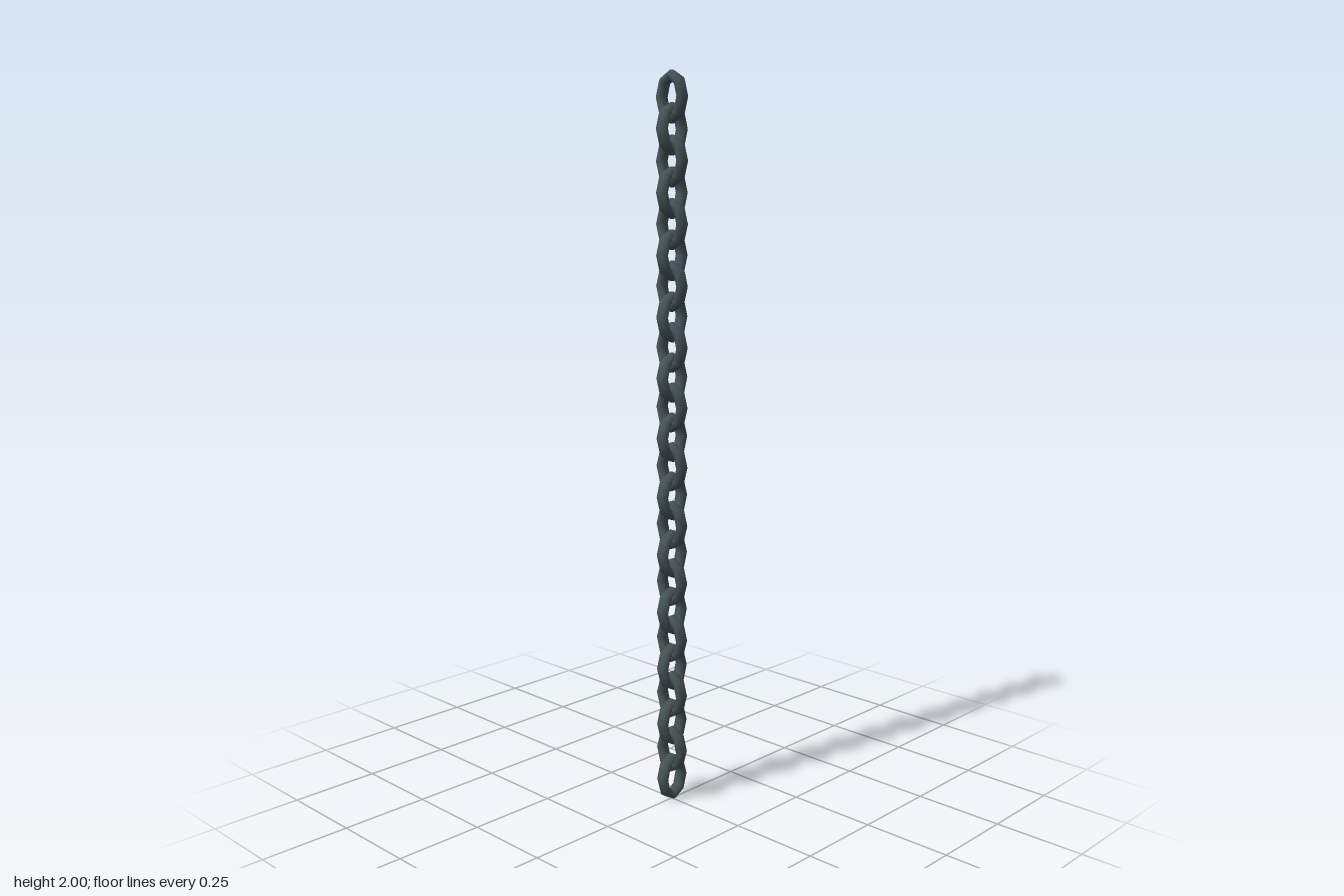
import * as THREE from 'three';
import { mergeVertices } from 'three/addons/utils/BufferGeometryUtils.js';

const LINKS = 24;
const HALF_W = 0.05, HALF_H = 0.0675; // outer half size of a link
const THICK = 0.013, DEPTH = 0.0165; // half thickness in and across its plane
const SIDES = 8, STEPS = 8;

// Oval eight-step ring with a flat-sided octagonal section
function linkGeometry() {
  const geo = new THREE.TorusGeometry(1, 0.3, SIDES, STEPS);
  const pos = geo.attributes.position;
  const k = 1 / Math.cos(Math.PI / SIDES);
  for (let j = 0, n = 0; j <= SIDES; j++) {
    const v = ((j % SIDES + 0.5) / SIDES) * Math.PI * 2;
    for (let i = 0; i <= STEPS; i++, n++) {
      const u = ((i % STEPS) / STEPS) * Math.PI * 2;
      const out = THICK * k * Math.cos(v);
      pos.setXYZ(n,
        Math.cos(u) * (HALF_W - THICK + out),
        Math.sin(u) * (HALF_H - THICK + out),
        DEPTH * k * Math.sin(v));
    }
  }
  // Weld the seams so the shading stays smooth all round
  geo.deleteAttribute('uv');
  geo.deleteAttribute('normal');
  const welded = mergeVertices(geo, 1e-5);
  welded.computeVertexNormals();
  return welded;
}

export function createModel() {
  const chain = new THREE.Group();
  chain.name = 'chain';
  const iron = new THREE.MeshStandardMaterial({ color: 0x465457 });
  iron.name = 'dark iron';
  const geo = linkGeometry();
  const step = (2 - 2 * HALF_H) / (LINKS - 1);

  // Links from top to bottom, each a quarter turn from the last
  for (let i = 0; i < LINKS; i++) {
    const link = new THREE.Mesh(geo, iron);
    link.name = `chainLink${i + 1}`;
    link.position.y = 2 - HALF_H - i * step;
    link.rotation.y = (i % 2) * Math.PI / 2;
    chain.add(link);
  }
  return chain;
}
